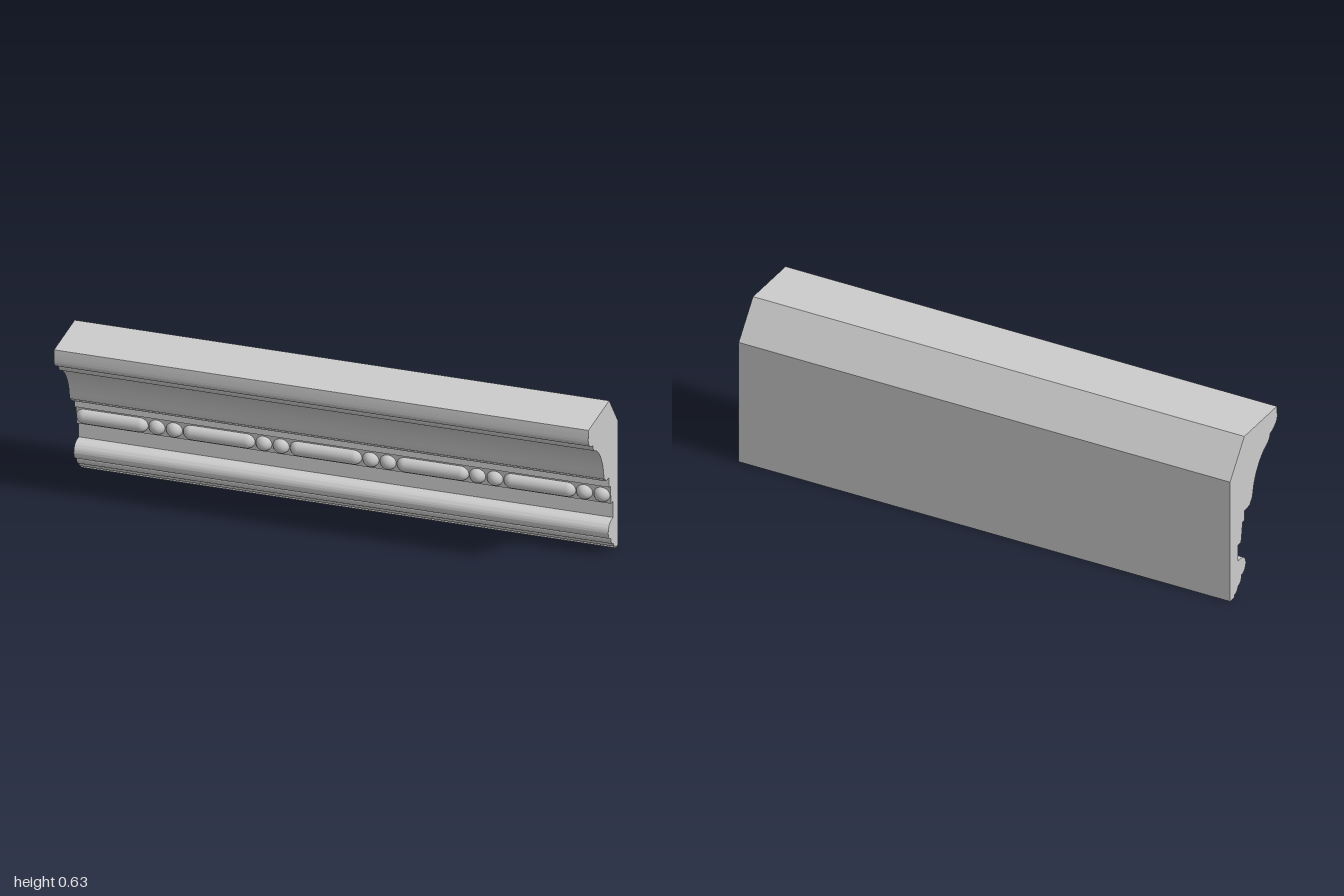
import * as THREE from 'three';
import { toCreasedNormals } from 'three/addons/utils/BufferGeometryUtils.js';

const LENGTH = 2;
const material = new THREE.MeshStandardMaterial({ color: 0xcccccc });

// Cross-section of the moulding, drawn as (z, y)
function mouldingProfile() {
  const s = new THREE.Shape();
  const line = (...pts) => pts.forEach(([z, y]) => s.lineTo(z, y));
  const curve = (...pts) => s.splineThru(pts.map(([z, y]) => new THREE.Vector2(z, y)));

  // back, bevel and top
  s.moveTo(-0.173, 0);
  line([-0.173, 0.495], [-0.068, 0.63], [0.171, 0.63], [0.174, 0.595]);
  // upper ogee and large cove
  curve([0.172, 0.577], [0.158, 0.561], [0.14, 0.549], [0.122, 0.543]);
  curve([0.115, 0.526], [0.1, 0.512], [0.077, 0.5]);
  curve([0.052, 0.478], [0.03, 0.451], [0.012, 0.42], [0.0, 0.388], [-0.007, 0.358], [-0.013, 0.342], [-0.023, 0.335]);
  curve([-0.026, 0.327], [-0.04, 0.323], [-0.066, 0.322]);
  // fillet, sloped bead bed and flat recess
  line([-0.066, 0.282], [-0.08, 0.282], [-0.092, 0.203], [-0.114, 0.203], [-0.114, 0.137], [-0.092, 0.137]);
  // lower half-round
  s.absellipse(-0.092, 0.1015, 0.035, 0.0355, Math.PI / 2, -Math.PI / 2, true);
  // two small quarter-rounds and the foot
  line([-0.09, 0.066]);
  curve([-0.091, 0.052], [-0.1, 0.038], [-0.115, 0.033]);
  curve([-0.118, 0.024], [-0.127, 0.014], [-0.142, 0.01]);
  line([-0.142, 0], [-0.173, 0]);
  return s;
}

export function createModel() {
  const group = new THREE.Group();
  group.name = 'crownMoulding';
  const add = (name, geometry, x = 0, y = 0, z = 0) => {
    const mesh = new THREE.Mesh(geometry, material);
    mesh.name = name;
    mesh.position.set(x, y, z);
    group.add(mesh);
  };

  // Main body: profile swept along x
  const body = new THREE.ExtrudeGeometry(mouldingProfile(), { depth: LENGTH, bevelEnabled: false, curveSegments: 24 });
  body.translate(0, 0, -LENGTH / 2).rotateY(-Math.PI / 2);
  add('mouldingBody', toCreasedNormals(body, 0.45));

  // Bead-and-bar trim: one long bar and two round beads, repeated
  const r = 0.031;
  const bar = new THREE.CapsuleGeometry(r, 0.27 - 2 * r, 8, 24).rotateZ(Math.PI / 2);
  const bead = new THREE.SphereGeometry(r, 24, 16);
  for (let i = 0; i < 5; i++) {
    const x = -1 + i * 0.4;
    add('trimBar', bar, x + 0.135, 0.24, -0.092);
    add('trimBead', bead, x + 0.302, 0.24, -0.092);
    add('trimBead', bead, x + 0.367, 0.24, -0.092);
  }
  return group;
}
